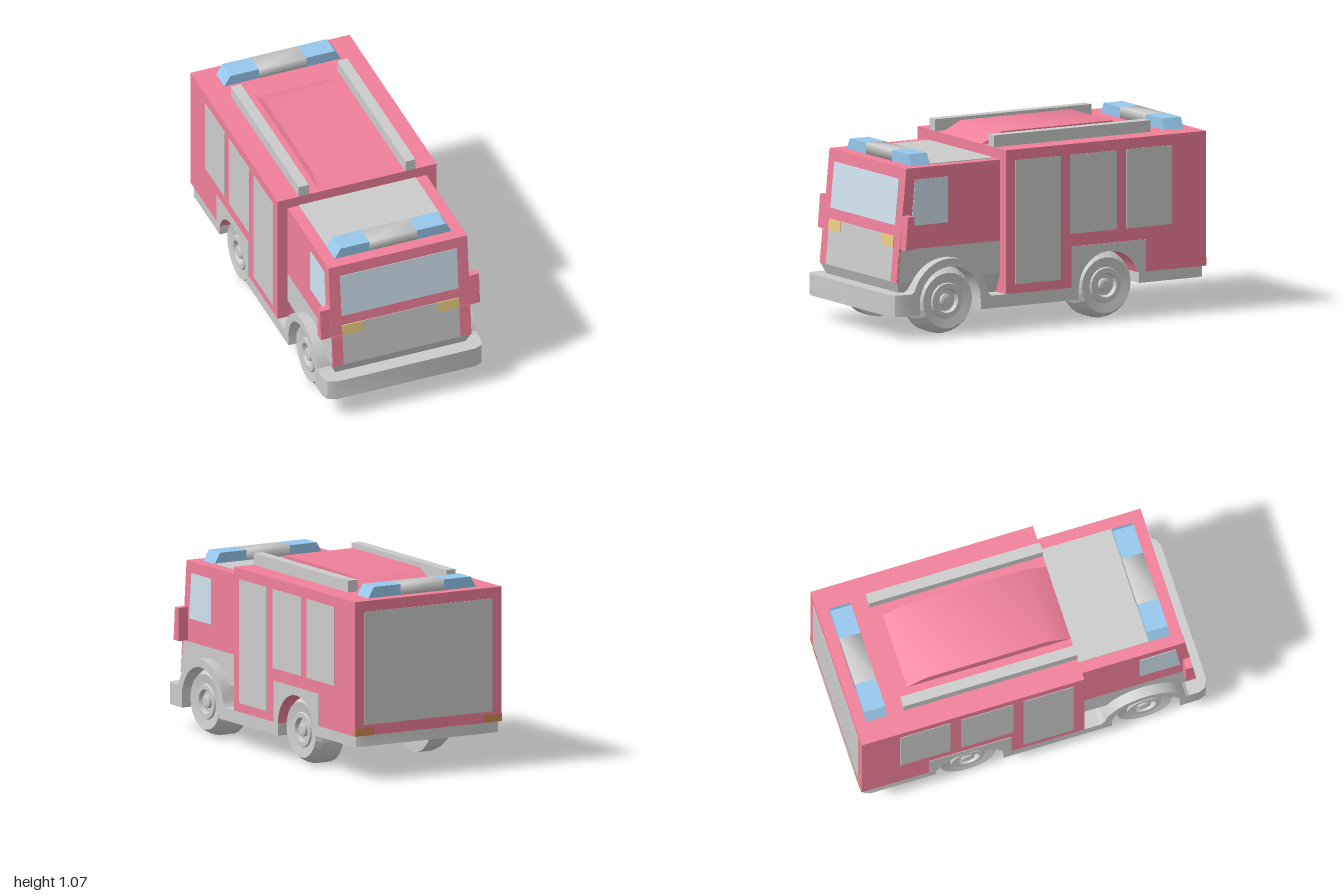
import * as THREE from 'three';
import { toCreasedNormals, mergeVertices } from 'three/addons/utils/BufferGeometryUtils.js';

const mat = (color) => new THREE.MeshStandardMaterial({ color });
const GREY = mat(0xcccccc), RED = mat(0xf0809a), BLUE = mat(0x96c8ec);
const GLASS = mat(0xcfe2ee), YELLOW = mat(0xe8cc80), ORANGE = mat(0xd08858);
const FRONT_AXLE = 0.635, REAR_AXLE = -0.38, AXLE_Y = 0.19, WELL = 0.195;
const T = 0.003; // thickness of painted panels

// points (z, y) on a circle around an axle
function arc(cz, r, a0, a1, n = 16) {
  return Array.from({ length: n + 1 }, (_, i) => {
    const a = a0 + (a1 - a0) * i / n;
    return [cz + r * Math.cos(a), AXLE_Y + r * Math.sin(a)];
  });
}
const toShape = (pts) => new THREE.Shape(pts.map(([a, b]) => new THREE.Vector2(a, b)));
const rect = (a0, a1, b0, b1) => [[a0, b0], [a1, b0], [a1, b1], [a0, b1]];

// side outline (z, y) extruded from x0 to x1
function sideGeo(pts, x0, x1) {
  const g = new THREE.ExtrudeGeometry(toShape(pts), { depth: x1 - x0, bevelEnabled: false });
  g.rotateY(-Math.PI / 2).translate(x1, 0, 0);
  return toCreasedNormals(g, 0.6);
}
// plan outline (x, z) extruded from y0 to y1
function planGeo(pts, y0, y1) {
  const g = new THREE.ExtrudeGeometry(toShape(pts.map(([x, z]) => [x, -z])), { depth: y1 - y0, bevelEnabled: false });
  g.rotateX(-Math.PI / 2).translate(0, y0, 0);
  return toCreasedNormals(g, 0.7);
}
function boxGeo(x0, x1, y0, y1, z0, z1) {
  return new THREE.BoxGeometry(x1 - x0, y1 - y0, z1 - z0)
    .translate((x0 + x1) / 2, (y0 + y1) / 2, (z0 + z1) / 2);
}
// move every vertex by a rule, then refresh the normals
function warp(g, rule) {
  const p = g.attributes.position, v = new THREE.Vector3();
  for (let i = 0; i < p.count; i++) {
    rule(v.fromBufferAttribute(p, i));
    p.setXYZ(i, v.x, v.y, v.z);
  }
  g.computeVertexNormals();
  return g;
}
const cabFront = (y) => 0.94 - (y - 0.31) * 0.095; // raked front of the cab

export function createModel() {
  const model = new THREE.Group();
  const add = (name, geo, material) => {
    const m = new THREE.Mesh(geo, material);
    m.name = name;
    model.add(m);
    return m;
  };
  // the same outline on both flanks
  const bothSides = (name, pts, x0, x1, material) => {
    add(name + 'Left', sideGeo(pts, x0, x1), material);
    add(name + 'Right', sideGeo(pts, -x1, -x0), material);
  };

  // rear body with wheel wells
  add('body', sideGeo([[0.28, 0.2], ...arc(REAR_AXLE, WELL, 0.05, Math.PI - 0.313),
    [-1, 0.25], [-1, 1], [0.28, 1]], -0.47, 0.47), RED);
  bothSides('tallShutter', rect(-0.07, 0.22, 0.25, 0.94), 0.47, 0.47 + T, GREY);
  bothSides('middleShutter', rect(-0.43, -0.13, 0.5, 0.94), 0.47, 0.47 + T, GREY);
  bothSides('rearShutter', rect(-0.78, -0.49, 0.5, 0.94), 0.47, 0.47 + T, GREY);
  bothSides('archPanel', [[-0.14, 0.2], ...arc(REAR_AXLE, WELL, 0.05, Math.PI - 0.313),
    [-0.615, 0.25], [-0.615, 0.43], [-0.14, 0.43]], 0.47, 0.47 + T, GREY);
  add('rearShutterDoor', boxGeo(-0.41, 0.41, 0.31, 0.94, -1 - T, -0.99), GREY);
  for (const s of [-1, 1])
    add('tailLight', boxGeo(s * 0.41 - 0.06, s * 0.41 + 0.06, 0.25, 0.295, -1 - T, -0.99), ORANGE);

  // cab: red upper part, grey middle part with wheel wells
  add('cabUpper', sideGeo([[0.28, 0.49], [cabFront(0.49), 0.49], [0.88, 0.94], [0.28, 0.94]], -0.41, 0.41), RED);
  const a = Math.asin(0.12 / WELL);
  add('cabLower', sideGeo([[0.28, 0.31], ...arc(FRONT_AXLE, WELL, Math.PI - a, a),
    [0.94, 0.31], [cabFront(0.49), 0.49], [0.28, 0.49]], -0.41, 0.41), GREY);
  // sill tapering inwards, behind and ahead of the wheel
  const taper = (v) => { v.x *= 1 - (0.31 - v.y) * 1.0; };
  add('cabRearSill', warp(sideGeo([[0.28, 0.19], [0.28, 0.31],
    ...arc(FRONT_AXLE, WELL, Math.PI - a, Math.PI, 5)], -0.41, 0.41), taper), GREY);
  add('cabFrontSill', warp(sideGeo([[0.915, 0.25], [0.94, 0.31],
    ...arc(FRONT_AXLE, WELL, a, 0.313, 4)], -0.41, 0.41), taper), GREY);

  // panels lying on the raked front
  const frontPanel = (name, x0, x1, y0, y1, material, lift = T) =>
    add(name, warp(boxGeo(x0, x1, y0, y1, -0.01, lift), (v) => { v.z += cabFront(v.y); }), material);
  frontPanel('windscreen', -0.345, 0.345, 0.62, 0.875, GLASS);
  frontPanel('grille', -0.345, 0.345, 0.31, 0.56, GREY);
  for (const s of [-1, 1]) {
    frontPanel('frontPillar', s * 0.3775 - 0.0325, s * 0.3775 + 0.0325, 0.31, 0.5, RED);
    frontPanel('headlight', s * 0.2825 - 0.0625, s * 0.2825 + 0.0625, 0.5, 0.56, YELLOW, 2 * T);
  }
  bothSides('sideWindow', [[0.615, 0.62], [0.85, 0.62], [0.825, 0.875], [0.615, 0.875]], 0.41, 0.41 + T, GLASS);
  bothSides('mirror', [[0.865, 0.495], [0.919, 0.495], [0.905, 0.68], [0.865, 0.68]], 0.40, 0.47, RED);
  add('cabRoofPanel', boxGeo(-0.345, 0.345, 0.93, 0.94 + T, 0.28, 0.7), GREY);

  // chassis, bumpers and front fenders
  add('chassisCore', boxGeo(-0.28, 0.28, 0.13, 0.42, -0.57, 0.86), GREY);
  add('chassisPlate', boxGeo(-0.47, 0.47, 0.13, 0.2, REAR_AXLE + WELL, FRONT_AXLE - WELL), GREY);
  add('frontBumper', planGeo([[-0.47, 0.83], [0.47, 0.83], [0.47, 0.94], [0.455, 0.98], [0.41, 1],
    [-0.41, 1], [-0.455, 0.98], [-0.47, 0.94]], 0.13, 0.25), GREY);
  add('rearBumper', planGeo([[-0.47, -0.573], [0.47, -0.573], [0.47, -0.95], [0.455, -0.985], [0.42, -1],
    [-0.42, -1], [-0.455, -0.985], [-0.47, -0.95]], 0.19, 0.25), GREY);
  bothSides('fender', [[0.89, 0.245], ...arc(FRONT_AXLE, 0.24, 0.3, Math.PI - 0.2), [0.385, 0.21], [0.365, 0.195],
    ...arc(FRONT_AXLE, WELL, Math.PI, 0.26)], 0.36, 0.47, GREY);

  // roof: rails and sloped hatch
  for (const s of [-1, 1])
    add('roofRail', boxGeo(s * 0.315 - 0.03, s * 0.315 + 0.03, 1, 1.065, -0.72, 0.28), GREY);
  add('roofHatch', sideGeo([[0.28, 1], [0.155, 1.06], [-0.55, 1.06], [-0.66, 1]], -0.22, 0.22), RED);

  // light bars: softly shaded middle and chamfered blue ends
  const lightBar = (y, z) => {
    const mid = boxGeo(-0.14, 0.14, y, y + 0.06, z - 0.06, z + 0.06);
    mid.deleteAttribute('normal');
    mid.deleteAttribute('uv');
    const soft = mergeVertices(mid);
    soft.computeVertexNormals();
    add('lightBarMiddle', soft, GREY);
    for (const s of [-1, 1]) {
      const end = boxGeo(s * 0.2425 - 0.1025, s * 0.2425 + 0.1025, y, y + 0.06, z - 0.06, z + 0.06);
      add('lightBarEnd', warp(end, (v) => {
        if (v.y > y + 0.03 && Math.abs(v.x) > 0.3) v.x -= s * 0.035;
      }), BLUE);
    }
  };
  lightBar(0.94, 0.75);
  lightBar(1, -0.875);

  // wheels: faceted tyre with stepped rim and hub
  const profile = [[0, 0.28], [0.19, 0.28], [0.19, 0.37], [0.178, 0.405], [0.155, 0.44], [0.1, 0.43],
    [0.095, 0.44], [0.068, 0.44], [0.06, 0.415], [0.037, 0.415], [0.037, 0.435], [0.022, 0.44], [0, 0.44]];
  const wheelGeo = new THREE.LatheGeometry(profile.map(([r, x]) => new THREE.Vector2(r, x)), 24).rotateZ(-Math.PI / 2);
  const wheelMat = new THREE.MeshStandardMaterial({ color: 0xcccccc, flatShading: true });
  for (const z of [FRONT_AXLE, REAR_AXLE]) for (const turn of [0, Math.PI]) {
    const w = add('wheel', wheelGeo, wheelMat);
    w.position.set(0, AXLE_Y, z);
    w.rotation.y = turn;
  }
  return model;
}
